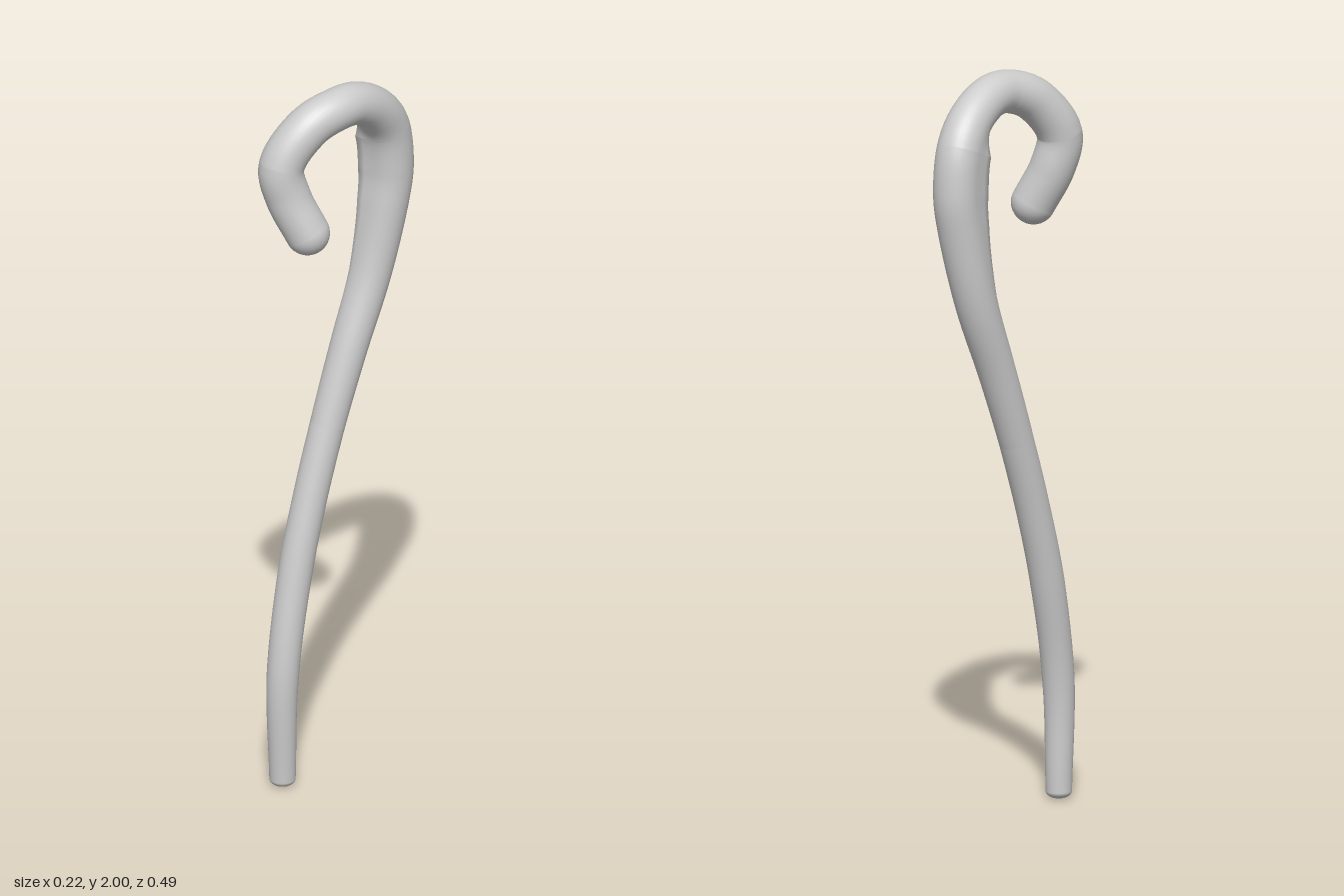
import * as THREE from 'three';

// Centre line from foot to hook end: x, y, z, radius, inner ridge strength
const STATIONS = [
  [-0.048, 0.02, 0.175, 0.035, 0],
  [-0.045, 0.32, 0.178, 0.043, 0],
  [-0.042, 0.6, 0.127, 0.046, 0],
  [-0.032, 0.8, 0.075, 0.046, 0],
  [-0.018, 1.0, 0.013, 0.047, 0],
  [0.0, 1.2, -0.055, 0.051, 0],
  [0.02, 1.4, -0.13, 0.055, 0.2],
  [0.04, 1.6, -0.172, 0.06, 0.75],
  [0.046, 1.7, -0.183, 0.062, 1],
  [0.047, 1.82, -0.165, 0.062, 1],
  [0.048, 1.89, -0.112, 0.06, 0],
  [0.042, 1.937, -0.03, 0.058, 0],
  [0.03, 1.942, 0.04, 0.058, 0],
  [-0.005, 1.91, 0.117, 0.06, 0],
  [-0.045, 1.81, 0.183, 0.061, 0],
  [-0.03, 1.72, 0.174, 0.061, 0],
  [0.017, 1.62, 0.152, 0.06, 0],
];
const LAST = STATIONS.length - 1;
const SIDES = 32;
const RIDGE = (225 * Math.PI) / 180;

const path = new THREE.CatmullRomCurve3(STATIONS.map((s) => new THREE.Vector3(s[0], s[1], s[2])));

// Value of a station column at a fractional station number
function sample(column, k) {
  const i = Math.min(Math.floor(k), LAST - 1);
  return THREE.MathUtils.lerp(STATIONS[i][column], STATIONS[i + 1][column], k - i);
}

// Tapered sweep between two stations, with a corner on the inner side where the ridge is strong
function sweep(from, to) {
  const rings = (to - from) * 8;
  const positions = [];
  const indices = [];
  for (let i = 0; i <= rings; i++) {
    const k = from + ((to - from) * i) / rings;
    const centre = path.getPoint(k / LAST);
    const t = path.getTangent(k / LAST);
    const u = new THREE.Vector3(1, 0, 0).addScaledVector(t, -t.x).normalize();
    const v = new THREE.Vector3().crossVectors(t, u);
    for (let j = 0; j < SIDES; j++) {
      const a = (j / SIDES) * Math.PI * 2;
      const off = Math.abs(a - RIDGE);
      const corner = off < Math.PI / 4 ? 1 / Math.cos(Math.PI / 4 - off) - 1 : 0;
      const r = sample(3, k) * (1 + corner * sample(4, k));
      const p = centre.clone().addScaledVector(u, r * Math.cos(a)).addScaledVector(v, r * Math.sin(a));
      positions.push(p.x, p.y, p.z);
      if (i < rings) {
        const p0 = i * SIDES + j;
        const p1 = i * SIDES + ((j + 1) % SIDES);
        indices.push(p0, p1, p0 + SIDES, p1, p1 + SIDES, p0 + SIDES);
      }
    }
  }
  const geometry = new THREE.BufferGeometry();
  geometry.setAttribute('position', new THREE.Float32BufferAttribute(positions, 3));
  geometry.setIndex(indices);
  geometry.computeVertexNormals();
  return geometry;
}

export function createModel() {
  const group = new THREE.Group();
  const material = new THREE.MeshStandardMaterial({ color: 0xcccccc, side: THREE.DoubleSide });
  const add = (name, geometry) => {
    const mesh = new THREE.Mesh(geometry, material);
    mesh.name = name;
    group.add(mesh);
    return mesh;
  };

  // Curved cane in four joined lengths
  add('lowerShaft', sweep(0, 4));
  add('upperShaft', sweep(4, 9));
  add('hookArch', sweep(9, 14));
  add('hookEnd', sweep(14, LAST));

  // Rounded ends
  const [fx, fy, fz, fr] = STATIONS[0];
  const foot = add('foot', new THREE.SphereGeometry(fr, SIDES, 16));
  foot.position.set(fx, fy, fz);
  foot.scale.y = fy / fr;
  const [ex, ey, ez, er] = STATIONS[LAST];
  add('hookTip', new THREE.SphereGeometry(er, SIDES, 16)).position.set(ex, ey, ez);

  return group;
}
